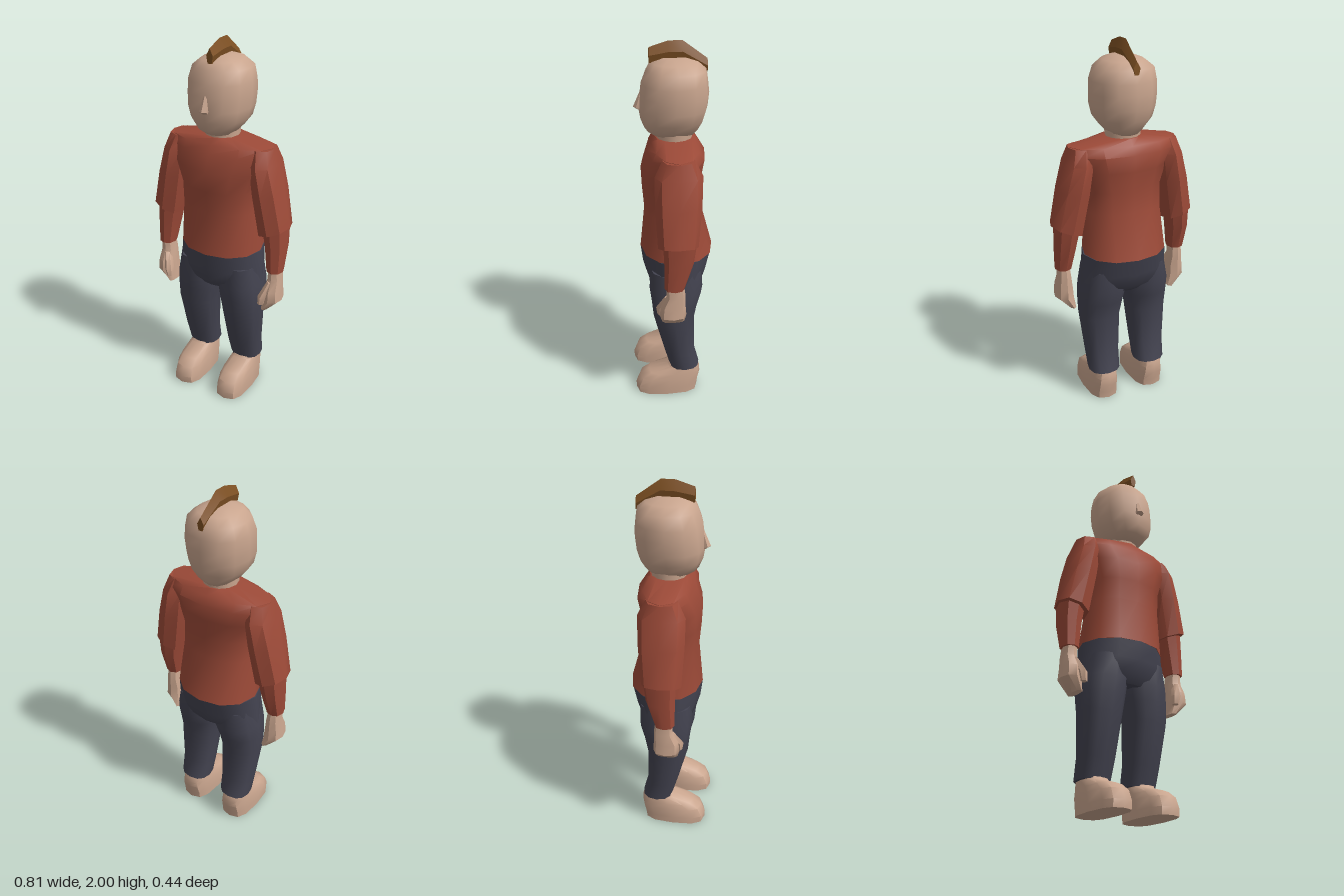
import * as THREE from 'three';
import { toCreasedNormals } from 'three/addons/utils/BufferGeometryUtils.js';

const material = (color) => new THREE.MeshStandardMaterial({ color });
const skin = material(0xc9a58e);
const shirt = material(0x9c4a38);
const trousers = material(0x434350);
const hair = material(0x7d5023);

// Skin a list of equal-sized point rings and close both ends.
function loft(name, mat, rings, crease = 0.8) {
  const n = rings[0].length;
  const points = rings.flat();
  const index = [];
  for (let j = 0; j < rings.length - 1; j++) {
    for (let i = 0; i < n; i++) {
      const a = j * n + i, b = j * n + (i + 1) % n;
      index.push(a, b, b + n, a, b + n, a + n);
    }
  }
  [0, rings.length - 1].forEach((r) => {
    const centre = new THREE.Vector3();
    rings[r].forEach((p) => centre.addScaledVector(p, 1 / n));
    const c = points.push(centre) - 1;
    for (let i = 0; i < n; i++) {
      const a = r * n + i, b = r * n + (i + 1) % n;
      if (r === 0) index.push(c, b, a);
      else index.push(c, a, b);
    }
  });
  const geometry = new THREE.BufferGeometry().setFromPoints(points);
  geometry.setIndex(index);
  const mesh = new THREE.Mesh(toCreasedNormals(geometry, crease), mat);
  mesh.name = name;
  return mesh;
}

// Rounded horizontal sections, listed upwards: [y, xMin, xMax, zBack, zFront, tilt].
// A power below 1 makes the section boxier; side -1 mirrors it.
function body(name, mat, sections, { n = 12, power = 1, side = 1, crease } = {}) {
  const bend = (v) => Math.sign(v) * Math.pow(Math.abs(v), power);
  const rings = sections.map(([y, x0, x1, z0, z1, tilt = 0]) => {
    const ring = [];
    for (let i = 0; i < n; i++) {
      const a = (i / n) * Math.PI * 2;
      const u = bend(Math.sin(a)), w = bend(Math.cos(a));
      ring.push(new THREE.Vector3(
        side * (x0 + x1) / 2 + u * (x1 - x0) / 2,
        y + tilt * u * side,
        (z0 + z1) / 2 + w * (z1 - z0) / 2));
    }
    return ring;
  });
  return loft(name, mat, rings, crease);
}

// Sections centred on x = 0: [y, halfWidth, zBack, zFront].
const centred = (list) => list.map(([y, w, z0, z1]) => [y, -w, w, z0, z1]);

function createArm(side) {
  const arm = new THREE.Group();
  arm.name = side > 0 ? 'leftArm' : 'rightArm';
  arm.add(
    body('sleeve', shirt, [
      [1.04, 0.24, 0.405, -0.105, 0.1, 0.03],
      [1.25, 0.2, 0.365, -0.125, 0.11, 0.01],
      [1.4, 0.18, 0.325, -0.13, 0.11],
      [1.48, 0.17, 0.3, -0.09, 0.07],
    ], { n: 8, power: 0.9, side }),
    body('forearm', shirt, [
      [0.81, 0.295, 0.385, -0.035, 0.07],
      [0.95, 0.275, 0.392, -0.08, 0.07],
      [1.08, 0.25, 0.39, -0.1, 0.075],
    ], { n: 8, power: 0.9, side }),
    body('hand', skin, [
      [0.575, 0.28, 0.32, -0.04, 0.08],
      [0.64, 0.285, 0.388, -0.045, 0.095],
      [0.7, 0.29, 0.383, -0.04, 0.09],
      [0.76, 0.3, 0.376, -0.04, 0.06],
      [0.83, 0.307, 0.37, -0.03, 0.06],
    ], { n: 8, power: 0.85, side }),
    body('thumb', skin, [
      [0.62, 0.275, 0.31, 0.065, 0.105],
      [0.67, 0.275, 0.325, 0.05, 0.112],
      [0.75, 0.31, 0.345, 0.02, 0.07],
    ], { n: 6, side }));
  return arm;
}

function createLeg(side) {
  const leg = new THREE.Group();
  leg.name = side > 0 ? 'leftLeg' : 'rightLeg';
  leg.add(
    body('trouserLeg', trousers, [
      [0.17, 0.052, 0.228, -0.14, 0.03],
      [0.28, 0.045, 0.235, -0.112, 0.06],
      [0.5, 0.03, 0.252, -0.11, 0.115],
      [0.6, 0.012, 0.256, -0.13, 0.125],
      [0.68, 0, 0.252, -0.155, 0.135],
      [0.8, 0.01, 0.23, -0.15, 0.13],
    ], { power: 0.85, side }),
    body('foot', skin, [
      [0, 0.055, 0.228, -0.13, 0.22],
      [0.04, 0.055, 0.228, -0.135, 0.222],
      [0.095, 0.06, 0.224, -0.147, 0.2],
      [0.13, 0.067, 0.217, -0.146, 0.15],
      [0.165, 0.075, 0.21, -0.138, 0.04],
      [0.2, 0.08, 0.205, -0.12, 0.02],
    ], { power: 0.7, side }));
  return leg;
}

// Crest of hair: five-sided sections along z, listed from back to front.
function createCrest() {
  const stations = [
    [-0.172, 1.845, 1.91, 0.8], [-0.05, 1.9, 2, 1], [0.02, 1.9, 2, 1], [0.115, 1.895, 1.97, 0.8],
  ];
  const rings = stations.map(([z, low, high, wide]) => {
    const mid = low + (high - low) * 0.5;
    return [[-0.014, low], [0.014, low], [0.023, mid], [0, high], [-0.023, mid]]
      .map(([x, y]) => new THREE.Vector3(x * wide, y, z));
  });
  return loft('hairCrest', hair, rings, 0.5);
}

export function createModel() {
  const model = new THREE.Group();
  model.name = 'figure';

  // Trunk
  model.add(
    body('pelvis', trousers, centred([
      [0.66, 0.2, -0.12, 0.11],
      [0.7, 0.25, -0.16, 0.14],
      [0.78, 0.246, -0.19, 0.162],
      [0.88, 0.235, -0.216, 0.174],
    ])),
    body('torso', shirt, centred([
      [0.88, 0.228, -0.216, 0.174],
      [1.12, 0.213, -0.152, 0.15],
      [1.24, 0.212, -0.15, 0.16],
      [1.35, 0.25, -0.156, 0.165],
      [1.44, 0.295, -0.165, 0.132],
      [1.482, 0.293, -0.135, 0.11],
      [1.515, 0.09, -0.11, 0.09],
    ]), { power: 0.92, crease: 0.9 }));

  // Head
  model.add(
    body('neck', skin, centred([
      [1.48, 0.092, -0.1, 0.08],
      [1.58, 0.092, -0.11, 0.09],
    ])),
    body('head', skin, centred([
      [1.53, 0.075, -0.11, 0.1],
      [1.56, 0.108, -0.135, 0.14],
      [1.61, 0.148, -0.16, 0.16],
      [1.67, 0.163, -0.177, 0.17],
      [1.74, 0.167, -0.184, 0.163],
      [1.8, 0.166, -0.177, 0.155],
      [1.865, 0.15, -0.168, 0.13],
      [1.9, 0.105, -0.13, 0.105],
      [1.92, 0.05, -0.07, 0.05],
    ]), { power: 0.88, crease: 1 }),
    body('nose', skin, centred([
      [1.665, 0.022, 0.14, 0.182],
      [1.675, 0.025, 0.14, 0.196],
      [1.75, 0.01, 0.14, 0.163],
    ]), { n: 6 }),
    createCrest());

  // Limbs
  for (const side of [1, -1]) model.add(createArm(side), createLeg(side));
  return model;
}
